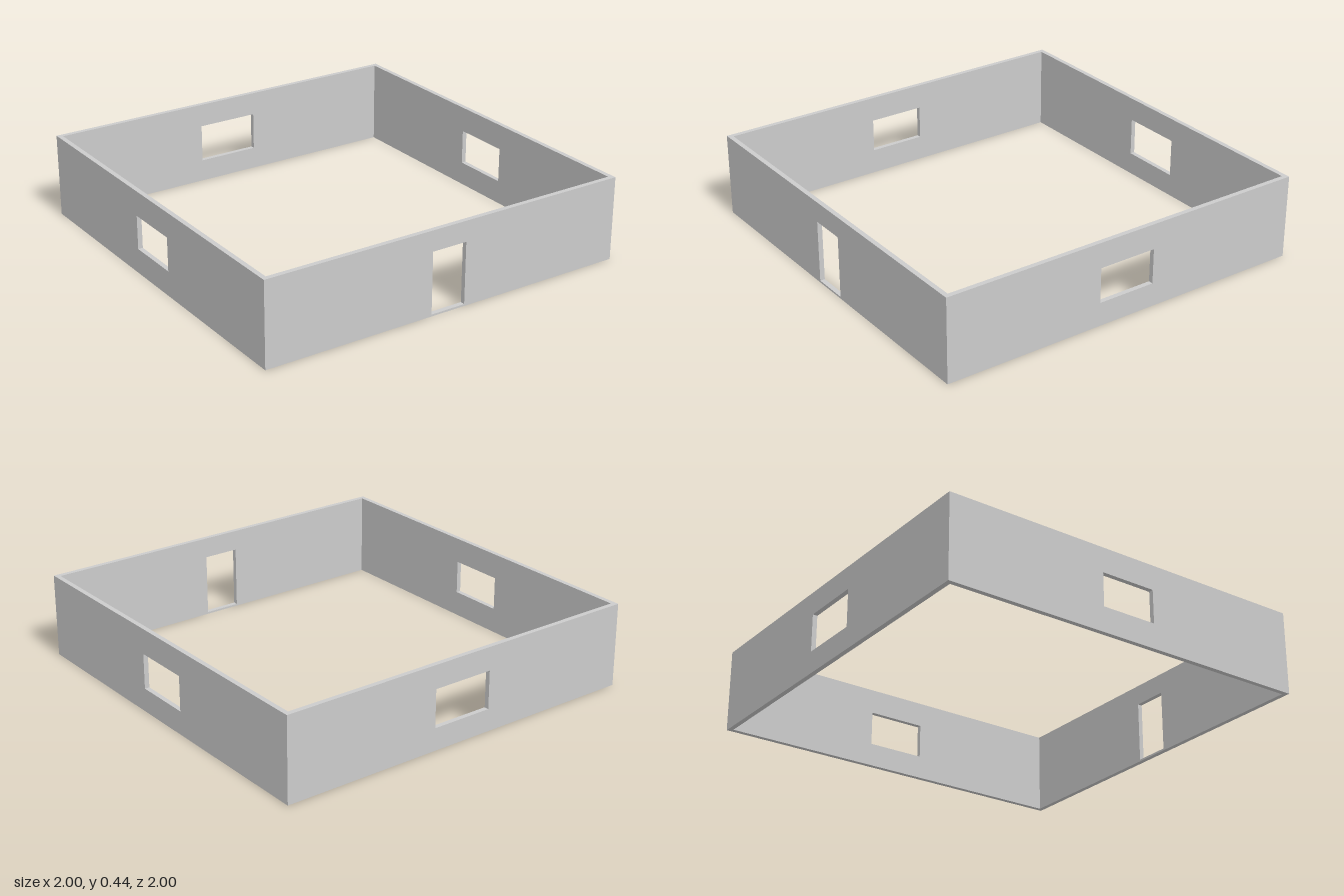
import * as THREE from 'three';

const HEIGHT = 0.437, THICK = 0.025;
const material = new THREE.MeshStandardMaterial({ color: 0xcccccc, flatShading: true });

// Upright wall centred on the origin, outer face towards +z, with one rectangular opening
function wall(name, length, [x0, x1, y0, y1]) {
  const h = length / 2;
  const shape = new THREE.Shape([[-h, 0], [h, 0], [h, HEIGHT], [-h, HEIGHT]].map(p => new THREE.Vector2(...p)));
  shape.holes.push(new THREE.Path([[x0, y0], [x0, y1], [x1, y1], [x1, y0]].map(p => new THREE.Vector2(...p))));
  const geometry = new THREE.ExtrudeGeometry(shape, { depth: THICK, bevelEnabled: false });
  geometry.translate(0, 0, 1 - THICK);
  const mesh = new THREE.Mesh(geometry, material);
  mesh.name = name;
  return mesh;
}

export function createModel() {
  const group = new THREE.Group();
  group.name = 'roomWalls';
  const inner = 2 - 2 * THICK;

  // Name, length, opening (left, right, bottom, top seen from outside), turn about y
  const walls = [
    ['frontWallWithDoor', 2, [-0.098, 0.092, 0.01, 0.33], 0],
    ['leftWallWithWindow', inner, [-0.155, 0.155, 0.123, 0.305], Math.PI / 2],
    ['backWallWithWindow', 2, [-0.163, 0.163, 0.117, 0.315], Math.PI],
    ['rightWallWithWindow', inner, [-0.148, 0.148, 0.131, 0.306], -Math.PI / 2],
  ];
  for (const [name, length, opening, turn] of walls) {
    const mesh = wall(name, length, opening);
    mesh.rotation.y = turn;
    group.add(mesh);
  }
  return group;
}
